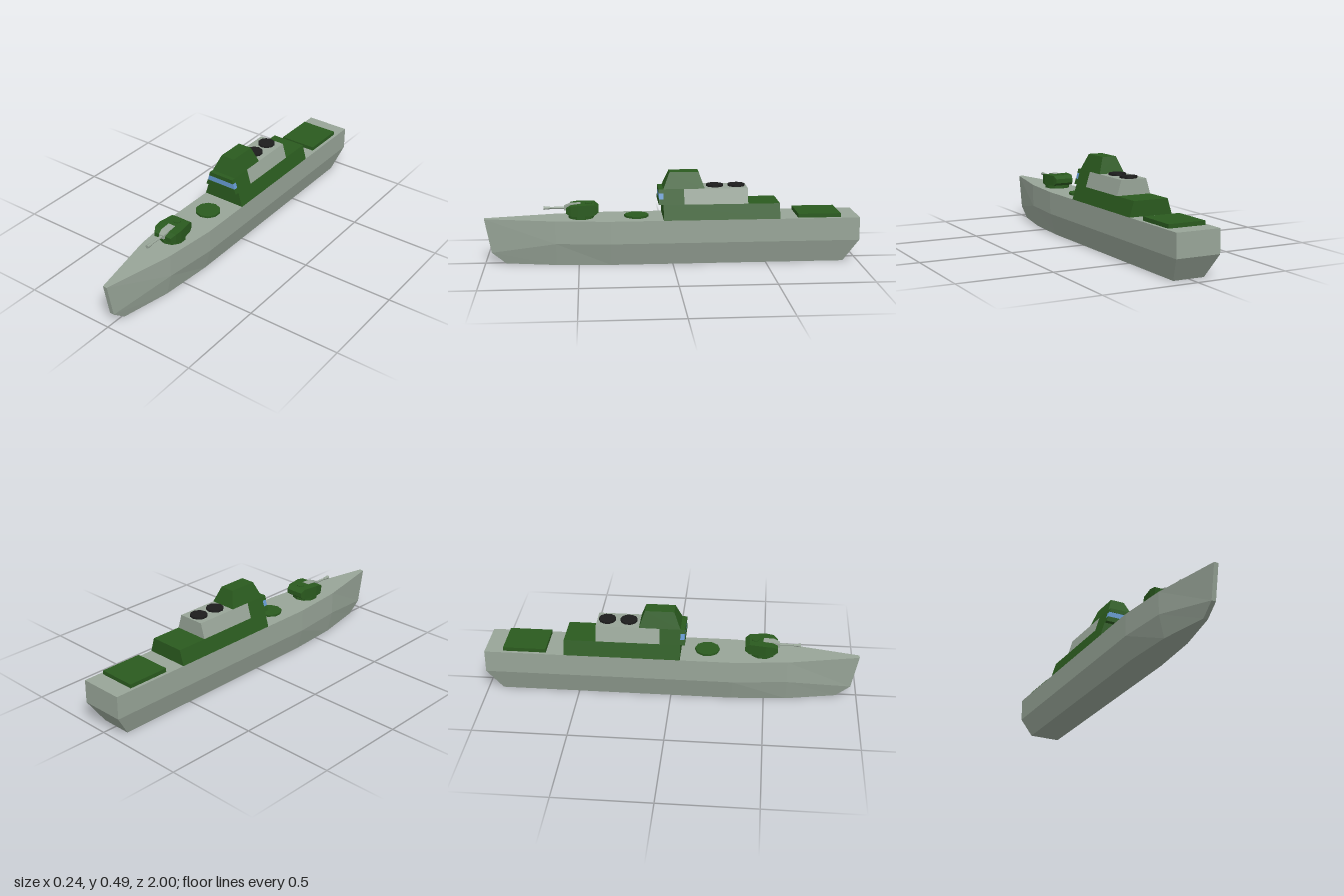
import * as THREE from 'three';

const mat = (color) => new THREE.MeshStandardMaterial({ color, flatShading: true });
const GREY = mat(0x98a598), GREEN = mat(0x2a5a1e), BLUE = mat(0x6498cf), BLACK = mat(0x1c1c1c);

// Skin over cross-sections that run towards +z, each counter-clockwise seen from +z
function loft(sections) {
  const pos = [];
  const tri = (a, b, c) => pos.push(...a, ...b, ...c);
  const n = sections[0].length;
  for (let s = 0; s < sections.length - 1; s++) {
    const A = sections[s], B = sections[s + 1];
    for (let i = 0; i < n; i++) {
      const j = (i + 1) % n;
      tri(A[i], A[j], B[j]);
      tri(A[i], B[j], B[i]);
    }
  }
  const first = sections[0], last = sections[sections.length - 1];
  for (let i = 1; i < n - 1; i++) {
    tri(first[0], first[i + 1], first[i]);
    tri(last[0], last[i], last[i + 1]);
  }
  const g = new THREE.BufferGeometry();
  g.setAttribute('position', new THREE.Float32BufferAttribute(pos, 3));
  g.computeVertexNormals();
  return g;
}

// Four-cornered section; bottom and top may lie at different z
const quad = (w0, y0, z0, w1, y1, z1) => [[w0, y0, z0], [w1, y1, z1], [-w1, y1, z1], [-w0, y0, z0]];

// Half-width of the sloping superstructure sides at height y
const slope = (y) => 0.12 - (y - 0.245) * 0.3;

export function createModel() {
  const ship = new THREE.Group();
  ship.name = 'warship';
  const add = (name, geometry, material, parent = ship) => {
    const mesh = new THREE.Mesh(geometry, material);
    mesh.name = name;
    parent.add(mesh);
    return mesh;
  };
  const block = (name, y0, y1, back, front, material) =>
    add(name, loft([back, front].map((z) => quad(slope(y0), y0, z, slope(y1), y1, z))), material);
  const disc = (name, r, y0, y1, z, material, sides = 10, parent = ship) =>
    add(name, new THREE.CylinderGeometry(r, r, y1 - y0, sides), material, parent).position.set(0, (y0 + y1) / 2, z);
  const box = (name, w, y0, y1, z0, z1, material, parent = ship) =>
    add(name, new THREE.BoxGeometry(w, y1 - y0, z1 - z0), material, parent).position.set(0, (y0 + y1) / 2, (z0 + z1) / 2);

  // Hull: deck edge, knuckle and bottom edge given as [half-width, y, z]
  const stations = [
    [[0.12, 0.245, -1], [0.12, 0.122, -1], [0.085, 0, -0.92]],
    [[0.12, 0.245, 0.33], [0.12, 0.122, 0.33], [0.085, 0, 0.33]],
    [[0.092, 0.245, 0.62], [0.092, 0.122, 0.62], [0.065, 0, 0.62]],
    [[0.012, 0.245, 1], [0.012, 0.06, 0.965], [0.012, 0, 0.89]],
  ];
  const flip = ([x, y, z]) => [-x, y, z];
  add('hull', loft(stations.map(([d, k, b]) => [k, d, flip(d), flip(k), flip(b), b])), GREY);

  // Superstructure with sloping sides
  block('deckhouse', 0.245, 0.325, -0.57, 0.05, GREEN);
  block('bridge', 0.325, 0.405, -0.06, 0.05, GREEN);
  block('funnelHouse', 0.325, 0.405, -0.4, -0.06, GREY);
  add('mastTower', loft([
    quad(0.072, 0.405, -0.17, 0.039, 0.49, -0.14),
    quad(0.072, 0.405, 0.05, 0.039, 0.49, 0.015),
  ]), GREEN);

  // Overhanging bridge front with a window band
  block('bridgeSill', 0.325, 0.353, 0.05, 0.075, GREEN);
  block('bridgeWindow', 0.353, 0.383, 0.05, 0.073, BLUE);
  block('bridgeVisor', 0.383, 0.405, 0.05, 0.075, GREEN);

  // Deck fittings
  for (const z of [-0.23, -0.345]) disc('funnelVent', 0.046, 0.404, 0.416, z, BLACK);
  disc('foredeckHatch', 0.066, 0.244, 0.256, 0.19, GREEN);
  box('aftPad', 0.205, 0.244, 0.266, -0.9, -0.67, GREEN);

  // Gun turret
  const turret = new THREE.Group();
  turret.name = 'gunTurret';
  ship.add(turret);
  disc('turretRing', 0.069, 0.244, 0.263, 0.485, GREEN, 10, turret);
  const shell = [ // z, half-width, bottom, top
    [0.392, 0.05, 0.28, 0.304], [0.415, 0.057, 0.264, 0.321], [0.5, 0.07, 0.26, 0.321],
    [0.54, 0.066, 0.264, 0.316], [0.565, 0.052, 0.277, 0.3],
  ];
  add('turretShell', loft(shell.map(([z, w, y0, y1]) => quad(w, y0, z, w, y1, z))), GREEN, turret);
  disc('turretHatch', 0.02, 0.32, 0.325, 0.445, GREEN, 8, turret);
  add('gunMantlet', loft([
    quad(0.021, 0.285, 0.488, 0.021, 0.323, 0.488),
    quad(0.021, 0.285, 0.545, 0.021, 0.32, 0.545),
    quad(0.014, 0.287, 0.575, 0.014, 0.309, 0.575),
  ]), GREY, turret);
  const gun = (name, r0, r1, z0, z1) => {
    const m = add(name, new THREE.CylinderGeometry(r1, r0, z1 - z0, 8), GREY, turret);
    m.rotation.x = Math.PI / 2;
    m.position.set(0, 0.298, (z0 + z1) / 2);
  };
  gun('gunBarrel', 0.008, 0.005, 0.57, 0.655);
  gun('gunMuzzle', 0.007, 0.01, 0.65, 0.685);

  return ship;
}
